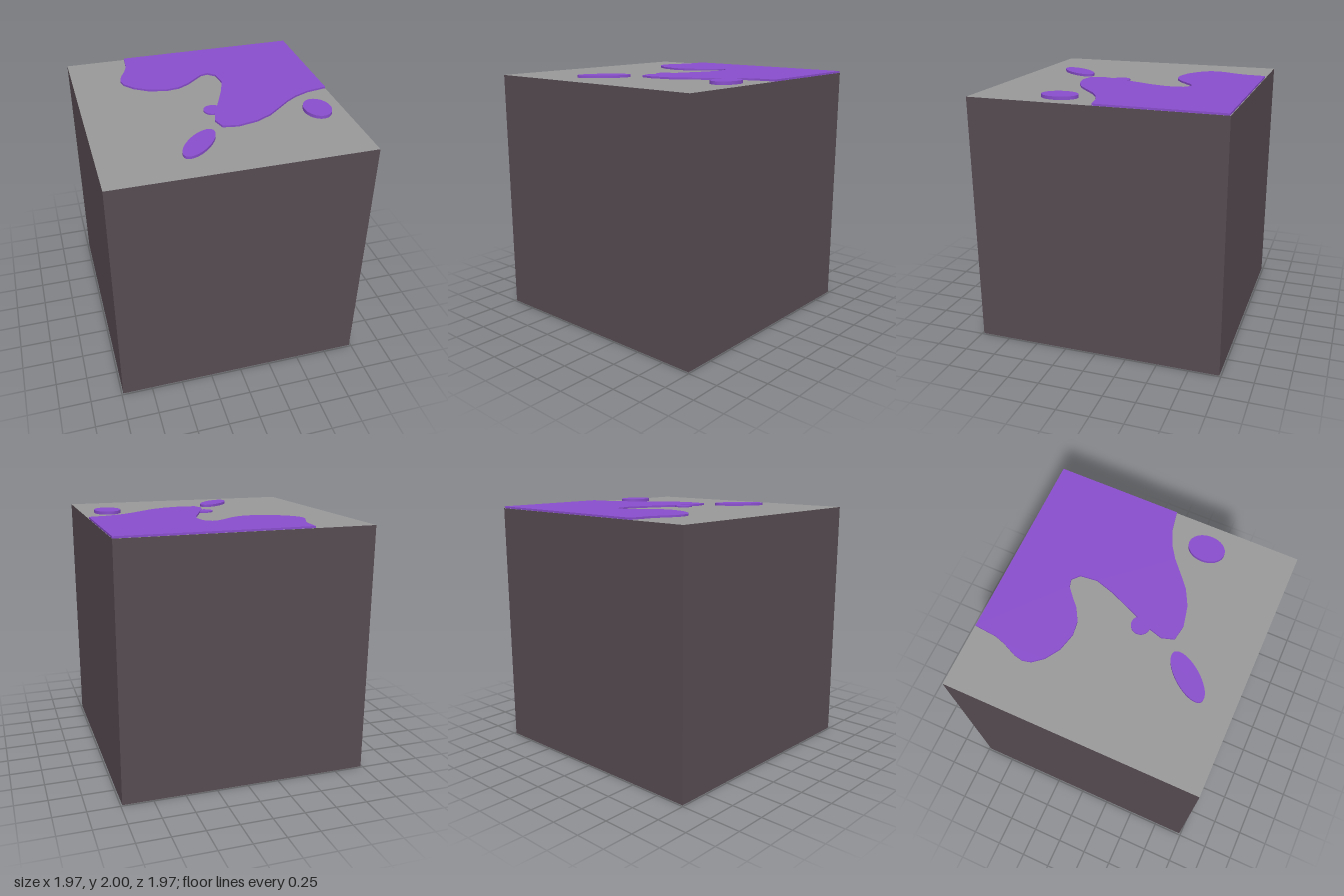
import * as THREE from 'three';

const H = 0.987;          // half width of the cube
const TOP = 1.975;        // height of the cube's top face

const mat = (name, color) => {
  const m = new THREE.MeshStandardMaterial({ color });
  m.name = name;
  return m;
};

export function createModel() {
  const stone = mat('grey stone', 0x989898);
  const wall = mat('dark brown wall', 0x564b51);
  const slime = mat('purple slime', 0x884dcb);
  const charcoal = mat('charcoal', 0x5c6061);
  const teal = mat('muted teal', 0x80a397);

  const model = new THREE.Group();
  model.name = 'block';
  const add = (name, geometry, material, parent = model) => {
    const mesh = new THREE.Mesh(geometry, material);
    mesh.name = name;
    parent.add(mesh);
    return mesh;
  };

  // Four walls and the top face
  ['frontWall', 'leftWall', 'backWall', 'rightWall'].forEach((name, i) => {
    const g = new THREE.PlaneGeometry(2 * H, TOP);
    g.translate(0, TOP / 2, H).rotateY(i * Math.PI / 2);
    add(name, g, wall);
  });
  add('topFace', new THREE.PlaneGeometry(2 * H, 2 * H).rotateX(-Math.PI / 2).translate(0, TOP, 0), stone);

  // Underside, laid out as flat tiles: x0, x1, z0, z1
  const underside = new THREE.Group();
  underside.name = 'underside';
  model.add(underside);
  const tiles = [
    ['purpleTile', slime, -0.03, 0.73, -H, -0.02],
    ['tealTile', teal, -0.77, -0.03, -0.79, -0.02],
    ['brownTile', wall, -0.77, -0.03, -0.02, H],
    ['charcoalTile', charcoal, -0.03, 0.73, -0.02, 0.73],
    ['charcoalSideTile', charcoal, 0.73, H, -H, -0.02],
    ['charcoalBackTile', charcoal, -0.77, -0.03, -H, -0.79],
    ['greyFrontTile', stone, -0.03, 0.73, 0.73, H],
    ['greyLeftTile', stone, 0.73, H, -0.02, H],
    ['greyRightTile', stone, -H, -0.77, -H, H],
  ];
  for (const [name, material, x0, x1, z0, z1] of tiles) {
    const g = new THREE.PlaneGeometry(x1 - x0, z1 - z0).rotateX(Math.PI / 2);
    add(name, g.translate((x0 + x1) / 2, 0, (z0 + z1) / 2), material, underside);
  }

  // Large puddle: outline as x, z pairs
  const outline = [
    [-0.495, -0.982], [-0.51, -0.81], [-0.535, -0.73], [-0.585, -0.62], [-0.6, -0.55],
    [-0.585, -0.485], [-0.52, -0.405], [-0.41, -0.335], [-0.27, -0.3], [-0.16, -0.315],
    [-0.065, -0.37], [0, -0.43], [0.07, -0.49], [0.13, -0.505], [0.185, -0.455],
    [0.2, -0.325], [0.155, -0.175], [0.055, 0.06], [0, 0.19], [-0.03, 0.295],
    [0, 0.39], [0.12, 0.41], [0.28, 0.375], [0.405, 0.31], [0.495, 0.235],
    [0.605, 0.14], [0.7, 0.077], [0.82, 0.025], [0.985, -0.005], [0.985, -0.982],
  ];
  const shape = new THREE.Shape(outline.map(([x, z]) => new THREE.Vector2(x, -z)));
  const puddle = new THREE.ExtrudeGeometry(shape, { depth: 0.015, bevelEnabled: false });
  add('puddle', puddle.rotateX(-Math.PI / 2).translate(0, TOP, 0), slime);

  // Drops: x, z, radii, turn, height
  const drops = [
    ['smallDrop', 0, 0.12, 0.072, 0.072, 0, 0.012],
    ['longDrop', -0.23, 0.585, 0.209, 0.086, 0.867, 0.02],
    ['roundDrop', 0.78, 0.325, 0.107, 0.142, 0, 0.025],
  ];
  for (const [name, x, z, rx, rz, turn, h] of drops) {
    const drop = add(name, new THREE.CylinderGeometry(1, 1, h, 32), slime);
    drop.scale.set(rx, 1, rz);
    drop.rotation.y = turn;
    drop.position.set(x, TOP + h / 2, z);
  }

  return model;
}
